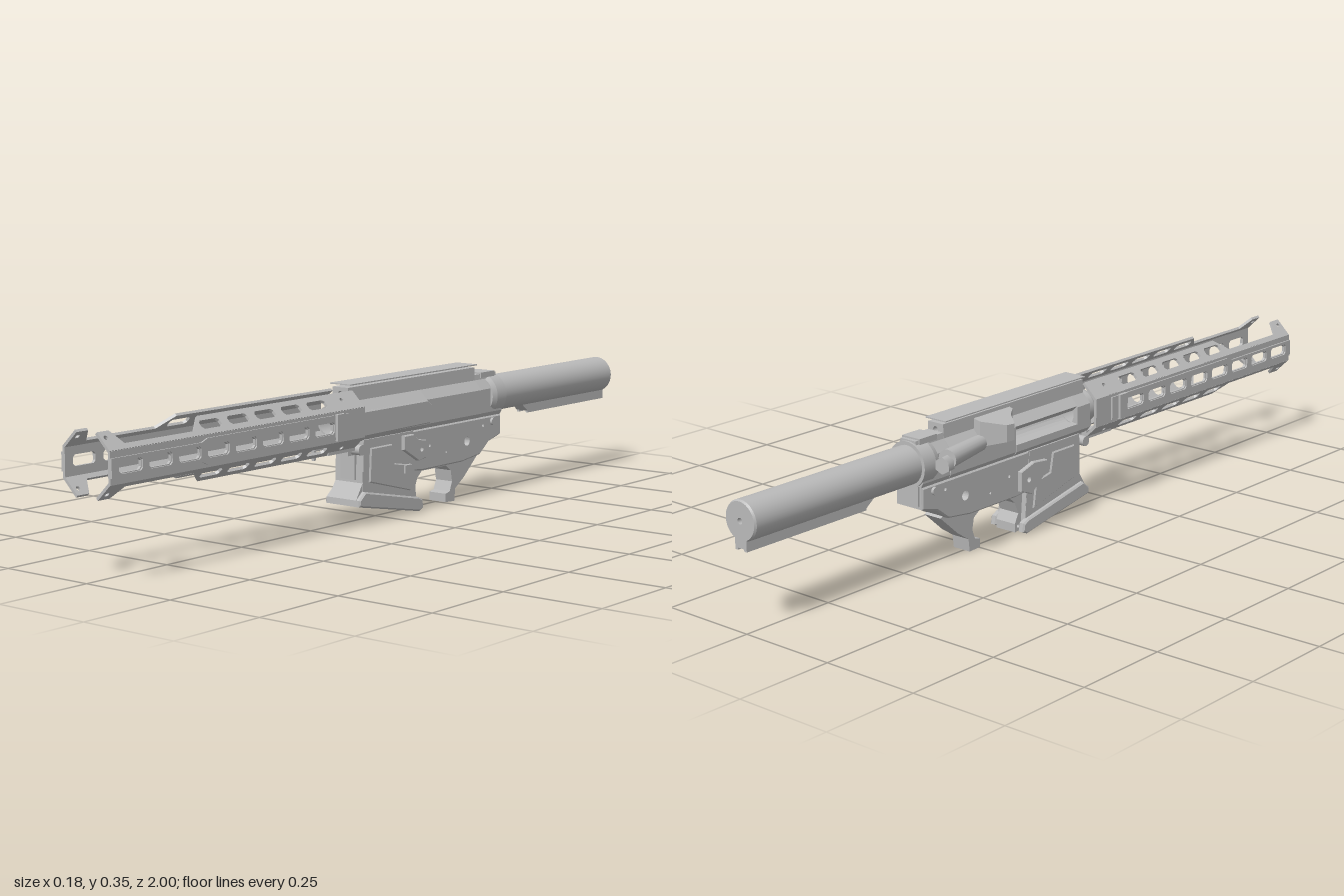
import * as THREE from 'three';

const CX = 0.007, CY = 0.263; // long axis of the assembly

export function createModel() {
  const model = new THREE.Group();
  // open and turned parts are seen from inside as well as outside
  const gray = new THREE.MeshStandardMaterial({ color: 0xbababa, side: THREE.DoubleSide });
  gray.name = 'lightGray';

  const add = (name, geo, parent = model) => {
    const m = new THREE.Mesh(geo, gray);
    m.name = name;
    parent.add(m);
    return m;
  };
  const shapeOf = (pts, holes = []) => {
    const s = new THREE.Shape(pts.map(p => new THREE.Vector2(p[0], p[1])));
    s.holes.push(...holes);
    return s;
  };
  const circle = (x, y, r) => new THREE.Path().absarc(x, y, r, 0, Math.PI * 2, true);
  const slot = (z, y, l, h) => new THREE.Path([
    [-l, -h + 0.006], [-l, h - 0.006], [-l + 0.006, h], [l - 0.006, h],
    [l, h - 0.006], [l, -h + 0.006], [l - 0.006, -h], [-l + 0.006, -h],
  ].map(p => new THREE.Vector2(z + p[0], y + p[1])));
  // outline in (z, y), extruded across x from x0 to x1
  const sideGeo = (pts, x0, x1, holes, bevel = 0) => {
    const g = new THREE.ExtrudeGeometry(shapeOf(pts, holes), {
      depth: x1 - x0 - 2 * bevel, bevelEnabled: bevel > 0, bevelSize: bevel,
      bevelOffset: -bevel, bevelThickness: bevel, bevelSegments: 1, curveSegments: 12,
    });
    return g.rotateY(-Math.PI / 2).translate(x1 - bevel, 0, 0);
  };
  // outline in (x, y) about the axis, extruded along z
  const frontGeo = (pts, z0, z1, holes) => new THREE.ExtrudeGeometry(shapeOf(pts, holes), {
    depth: z1 - z0, bevelEnabled: false, curveSegments: 16,
  }).translate(CX, CY, z0);
  const box = (name, x0, x1, y0, y1, z0, z1) => add(name,
    new THREE.BoxGeometry(x1 - x0, y1 - y0, z1 - z0)
      .translate((x0 + x1) / 2, (y0 + y1) / 2, (z0 + z1) / 2));
  // closed lathe profile of [radius, z] about the axis, with sharp edges
  const turned = (name, pts) => {
    const g = new THREE.Group();
    g.name = name;
    model.add(g);
    pts.forEach((p, i) => {
      const q = pts[(i + 1) % pts.length];
      add(name + 'Face', new THREE.LatheGeometry([new THREE.Vector2(...p), new THREE.Vector2(...q)], 40)
        .rotateX(Math.PI / 2).translate(CX, CY, 0), g);
    });
  };

  // ---- Slotted handguard: one half, then the same half turned about the axis
  const zs = Array.from({ length: 8 }, (_, i) => 0.942 - i * 0.0925);
  for (const [name, turn] of [['handguardLeft', 0], ['handguardRight', Math.PI]]) {
    const half = new THREE.Group();
    half.name = name;
    half.position.set(CX, CY, 0);
    half.rotation.z = turn;
    model.add(half);
    add('sidePlate', sideGeo([[0.14, -0.037], [1, -0.037], [1, 0.037], [0.14, 0.037]],
      0.066, 0.073, zs.map(z => slot(z, 0, 0.034, 0.013))), half);
    add('sideRib', sideGeo([[0.2, -0.03], [0.7, -0.03], [0.72, -0.022], [1, -0.022],
      [1, 0.022], [0.72, 0.022], [0.7, 0.03], [0.2, 0.03]],
      0.072, 0.077, zs.map(z => slot(z, 0, 0.036, 0.015))), half);
    // slanted plates, cut away near the front
    const outline = [[0.14, 0], [1, 0], [1, 0.053], [0.965, 0.053], [0.945, 0.014],
      [0.73, 0.014], [0.69, 0.053], [0.14, 0.053]];
    for (const up of [true, false]) {
      const g = sideGeo(outline, -0.003, 0.004,
        [...zs.slice(3).map(z => slot(z, 0.027, 0.033, 0.012)),
          circle(0.985, 0.035, 0.006), circle(0.2, 0.03, 0.006)]);
      g.rotateZ(up ? 0.8 : Math.PI - 0.8);
      g.translate(0.069, up ? 0.035 : -0.035, 0);
      add(up ? 'upperSlant' : 'lowerSlant', g, half);
    }
    // clamp rib at the rear
    add('clampRib', new THREE.BoxGeometry(0.009, 0.064, 0.03).translate(0.079, 0, 0.24), half);
  }
  for (const x of [CX - 0.033, CX + 0.033]) box('clampLug', x - 0.009, x + 0.009, 0.19, 0.212, 0.14, 0.24);
  box('clampPin', CX - 0.004, CX + 0.004, 0.175, 0.2, 0.242, 0.25);

  // ---- Front ring and inner disc
  turned('frontRing', [[0.034, 0.13], [0.043, 0.13], [0.043, 0.17], [0.039, 0.185], [0.034, 0.185]]);
  turned('innerDisc', [[0.0075, -0.16], [0.037, -0.16], [0.037, -0.145], [0.0075, -0.145]]);

  // ---- Upper body, with an opening in the right wall
  const bodyPts = (top, w) => [[0.024, top], [-0.024, top], [-0.026, 0.046], [-w, 0.022], [-w, -0.04],
    [-0.038, -0.053], [0.038, -0.053], [w, -0.04], [w, 0.022], [0.026, 0.046]];
  const bore = () => circle(0, 0, 0.036);
  const topHole = () => circle(0, 0.063, 0.008);
  add('upperFront', frontGeo(bodyPts(0.08, 0.049), 0.095, 0.145, [bore(), topHole()]));
  const arc = Array.from({ length: 21 }, (_, i) => {
    const a = Math.PI * (2.9 - i / 20 * 1.72);
    return [Math.cos(a) * 0.036, Math.sin(a) * 0.036];
  });
  add('upperOpenPart', frontGeo([[0.024, 0.08], [-0.024, 0.08], [-0.026, 0.046], [-0.048, 0.025],
    ...arc, [-0.049, -0.022], [-0.049, -0.04], [-0.038, -0.053],
    [0.038, -0.053], [0.049, -0.04], [0.049, 0.022], [0.026, 0.046]], -0.14, 0.095, [topHole()]));
  add('upperRear', frontGeo(bodyPts(0.08, 0.047), -0.375, -0.14, [bore(), topHole()]));
  add('upperTail', frontGeo(bodyPts(0.06, 0.045), -0.47, -0.375, [bore()]));
  add('sidePanel', sideGeo([[-0.15, 0.225], [0.12, 0.222], [0.135, 0.24], [0.135, 0.285], [-0.14, 0.285],
    [-0.16, 0.27]], 0.05, 0.06, [], 0.003));
  box('topPlate', CX - 0.032, CX + 0.032, 0.349, 0.352, -0.375, 0.145);
  box('rearHandle', CX - 0.028, CX + 0.028, 0.313, 0.327, -0.46, -0.4);

  // ---- Side bump, its top falling and its underside rising outward
  const bump = new THREE.ExtrudeGeometry(shapeOf([[-0.02, 0.14], [-0.02, 0.27], [-0.04, 0.27],
    [-0.085, 0.225], [-0.088, 0.2], [-0.05, 0.17], [-0.03, 0.14]].reverse()),
  { depth: 0.07, bevelEnabled: false }).rotateX(Math.PI / 2);
  const bp = bump.attributes.position;
  for (let i = 0; i < bp.count; i++) {
    const out = (-0.02 - bp.getX(i)) / 0.068;
    bp.setY(i, bp.getY(i) < -0.035 ? 0.262 + 0.016 * out : 0.335 - 0.016 * out);
    bp.setZ(i, -bp.getZ(i));
  }
  // the mirrored z above turns the faces over, so swap two corners of each
  for (let i = 0; i < bp.count; i += 3) {
    const a = [bp.getX(i), bp.getY(i), bp.getZ(i)];
    bp.setXYZ(i, bp.getX(i + 1), bp.getY(i + 1), bp.getZ(i + 1));
    bp.setXYZ(i + 1, ...a);
  }
  bump.computeVertexNormals();
  add('deflector', bump);

  // ---- Angled plunger behind the bump
  add('plungerHousing', new THREE.CylinderGeometry(0.024, 0.02, 0.15, 16)
    .rotateX(-Math.PI / 2).rotateY(0.2).translate(-0.05, 0.276, -0.34));
  add('plungerKnob', new THREE.CylinderGeometry(0.021, 0.021, 0.025, 6)
    .rotateX(-Math.PI / 2).rotateY(0.2).translate(-0.067, 0.266, -0.425));

  // ---- Lower body
  const L = CX - 0.043, R = CX + 0.043;
  const pins = [[-0.32, 0.157, 0.016], [-0.23, 0.14, 0.007], [-0.16, 0.165, 0.008], [-0.39, 0.19, 0.008]];
  add('lowerBody', sideGeo([[-0.08, 0.212], [-0.08, 0.11], [-0.13, 0.105], [-0.3, 0.105], [-0.38, 0.115],
    [-0.42, 0.145], [-0.47, 0.158], [-0.47, 0.212]], L, R, pins.map(p => circle(...p)), 0.004));
  add('gripMount', sideGeo([[-0.13, 0.107], [-0.155, 0.1], [-0.25, 0.1], [-0.272, 0.085], [-0.278, 0.055],
    [-0.268, 0.03], [-0.25, 0.026], [-0.25, 0.004], [-0.288, 0.002], [-0.292, 0.035],
    [-0.33, 0.06], [-0.39, 0.113], [-0.38, 0.12], [-0.13, 0.12]], CX - 0.026, CX + 0.026));
  add('guardFrontTab', sideGeo([[-0.08, 0.12], [-0.15, 0.107], [-0.125, 0.085], [-0.112, 0.055],
    [-0.125, 0.03], [-0.125, 0.008], [-0.095, 0.012], [-0.08, 0.06]], CX - 0.03, CX + 0.03,
  [circle(-0.112, 0.022, 0.005)]));
  turned('rearRing', [[0.038, -0.42], [0.052, -0.42], [0.057, -0.435], [0.057, -0.475], [0.038, -0.475]]);
  box('rearBridge', CX - 0.034, CX + 0.034, 0.165, 0.215, -0.475, -0.42);

  // ---- Open well with a flared lip
  const wall = [[0.108, 0.212], [0.112, 0.07], [0.112, 0.046], [-0.105, 0.012], [-0.1, 0.06], [-0.085, 0.212]];
  const lip = [[0.114, 0.085], [0.137, 0.066], [0.138, 0.05], [-0.105, 0.005], [-0.122, 0.012],
    [-0.118, 0.034], [-0.1, 0.042]];
  const ridge = [[0.085, 0.19], [0.09, 0.105], [-0.075, 0.062], [-0.065, 0.13], [-0.01, 0.14], [0, 0.19]];
  for (const [name, s] of [['Left', 1], ['Right', -1]]) {
    const across = (pts, a, b, bevel) => s > 0
      ? sideGeo(pts, CX + a, CX + b, [], bevel) : sideGeo(pts, CX - b, CX - a, [], bevel);
    add('wellWall' + name, across(wall, 0.032, 0.044));
    add('wellLip' + name, across(lip, 0.036, 0.055, 0.004));
    add('wellRidge' + name, across(ridge, 0.042, 0.049, 0.003));
  }
  add('wellFront', sideGeo([[0.108, 0.212], [0.112, 0.105], [0.137, 0.066], [0.138, 0.05], [0.122, 0.047],
    [0.1, 0.08], [0.092, 0.212]], L, R));
  box('wellFrontPanel', CX - 0.022, CX + 0.022, 0.112, 0.2, 0.1, 0.117);
  add('wellRear', sideGeo([[-0.07, 0.212], [-0.08, 0.012], [-0.105, 0.007], [-0.1, 0.06], [-0.09, 0.212]], L, R));
  box('wellRoof', L, R, 0.2, 0.212, -0.085, 0.1);

  // ---- Front hinge lug and small controls
  box('hingeLug', CX - 0.025, CX + 0.025, 0.175, 0.218, 0.1, 0.145);
  add('hingePin', new THREE.CylinderGeometry(0.013, 0.013, 0.105, 16)
    .rotateZ(Math.PI / 2).translate(CX, 0.19, 0.125));
  add('catchLever', sideGeo([[-0.04, 0.205], [-0.04, 0.17], [-0.1, 0.135], [-0.13, 0.14], [-0.13, 0.185],
    [-0.1, 0.19], [-0.08, 0.205]], R, 0.062, [circle(-0.112, 0.163, 0.008)], 0.002));
  box('leftButton', R, 0.061, 0.11, 0.13, -0.075, -0.045);
  add('rightFence', sideGeo([[-0.03, 0.18], [-0.03, 0.15], [-0.09, 0.105], [-0.13, 0.12], [-0.13, 0.17],
    [-0.08, 0.185]], -0.049, L, [circle(-0.1, 0.145, 0.009)], 0.002));
  add('rearPin', new THREE.CylinderGeometry(0.01, 0.01, 0.1, 16)
    .rotateZ(Math.PI / 2).translate(CX, 0.197, -0.43));

  // ---- Rear tube with an end hole and a rib below
  turned('rearTube', [[0.04, -0.985], [0.0075, -0.985], [0.0075, -1], [0.045, -1], [0.048, -0.995],
    [0.048, -0.44], [0.04, -0.44]]);
  add('tubeRib', sideGeo([[-0.6, 0.222], [-0.63, 0.2], [-1, 0.2], [-1, 0.222]], CX - 0.018, CX + 0.018));
  for (const x of [-0.014, 0.014])
    box('ribEdge', CX + x - 0.004, CX + x + 0.004, 0.195, 0.201, -1, -0.63);

  return model;
}
